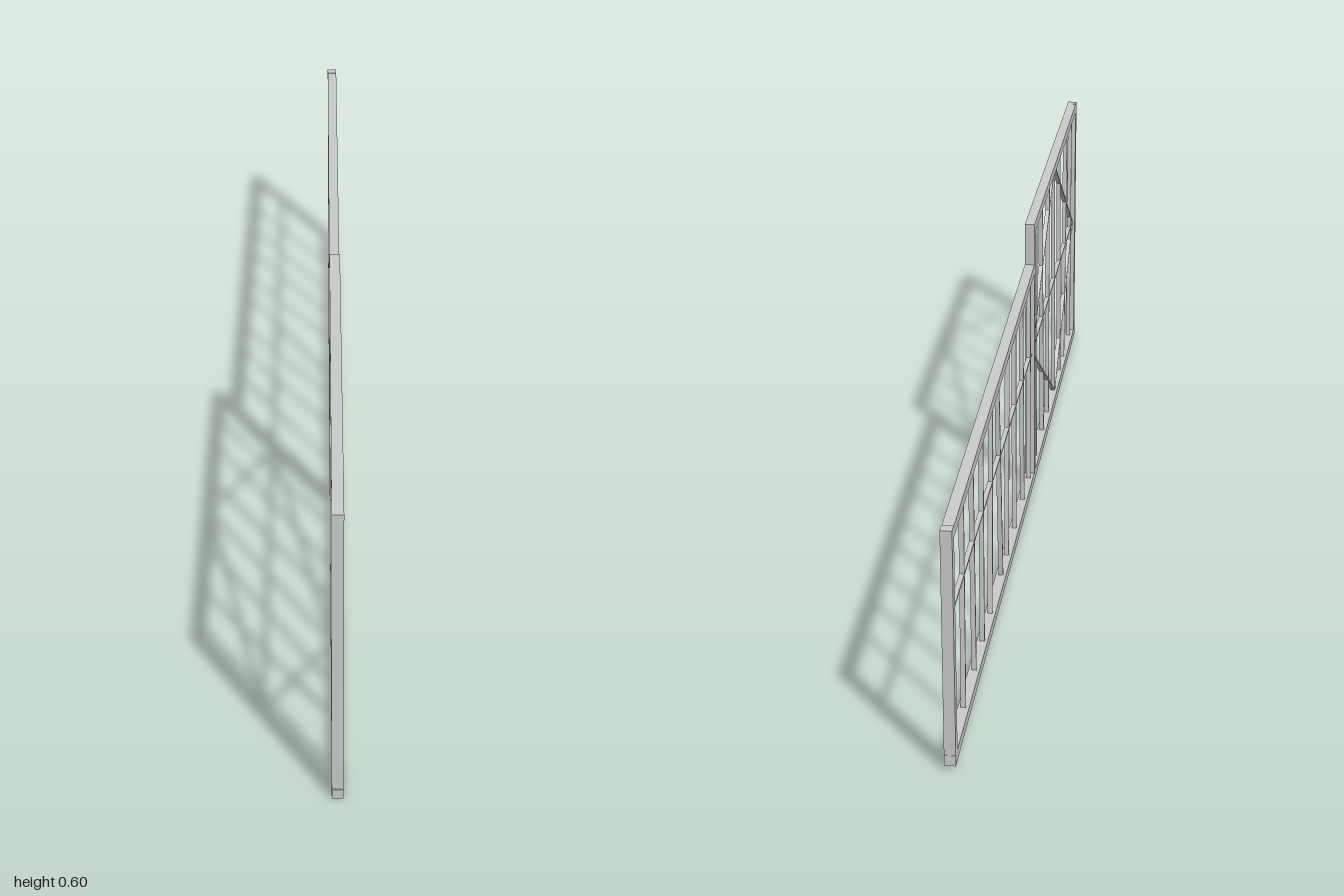
import * as THREE from 'three';

const material = new THREE.MeshStandardMaterial({ color: 0xcccccc, flatShading: true });

// Straight bar between two [z, y] points, lying in the plane x = 0
function bar(name, a, b, thickness, depth) {
  const dz = b[0] - a[0], dy = b[1] - a[1];
  const mesh = new THREE.Mesh(
    new THREE.BoxGeometry(depth, thickness, Math.hypot(dz, dy)), material);
  mesh.position.set(0, (a[1] + b[1]) / 2, (a[0] + b[0]) / 2);
  mesh.rotation.x = -Math.atan2(dy, dz);
  mesh.name = name;
  return mesh;
}

const frameBar = (name, a, b) => bar(name, a, b, 0.02, 0.02);
const strip = (name, a, b) => bar(name, a, b, 0.004, 0.009);

// Height on the line through two [z, y] points
const heightAt = (z, a, b) => a[1] + (b[1] - a[1]) * (z - a[0]) / (b[0] - a[0]);

// Panel: outer rails plus slanted upright strips given as [top z, bottom z]
function panel(name, top, bottom, uprights) {
  const group = new THREE.Group();
  group.name = name;
  group.add(frameBar('topRail', ...top), frameBar('bottomRail', ...bottom));
  for (const [zt, zb] of uprights) {
    group.add(strip('upright',
      [zt, heightAt(zt, ...top) - 0.008], [zb, heightAt(zb, ...bottom) + 0.008]));
  }
  return group;
}

export function createModel() {
  const model = new THREE.Group();
  model.name = 'gate';

  // Tall gate leaf
  const tall = panel('tallPanel',
    [[0.998, 0.588], [0.131, 0.571]],
    [[1.0, 0.01], [0.137, 0.01]],
    [[0.941, 0.941], [0.835, 0.804], [0.689, 0.716], [0.57, 0.598],
      [0.464, 0.464], [0.327, 0.364], [0.228, 0.228]]);
  tall.add(
    frameBar('frontPost', [0.988, 0.003], [0.988, 0.598]),
    frameBar('middlePost', [0.146, 0.005], [0.141, 0.579]));

  // Diamond bracing of the tall leaf
  const corners = [[0.983, 0.301], [0.57, 0.572], [0.148, 0.293], [0.598, 0.018]];
  corners.forEach((c, i) => tall.add(strip('diamondBrace', c, corners[(i + 1) % 4])));

  // Long low fence panel
  const low = panel('lowPanel',
    [[0.137, 0.484], [-0.99, 0.439]],
    [[0.137, 0.01], [-0.993, 0.02]],
    [[0.112, 0.112], [-0.017, 0.006], [-0.13, -0.13], [-0.231, -0.252],
      [-0.385, -0.337], [-0.471, -0.493], [-0.6, -0.6], [-0.722, -0.706],
      [-0.836, -0.836]]);
  low.add(frameBar('rearPost', [-0.982, 0.013], [-0.99, 0.451]));

  // Horizontal strip running through both panels
  model.add(tall, low, strip('middleRail', [0.983, 0.302], [-0.984, 0.286]));
  return model;
}
